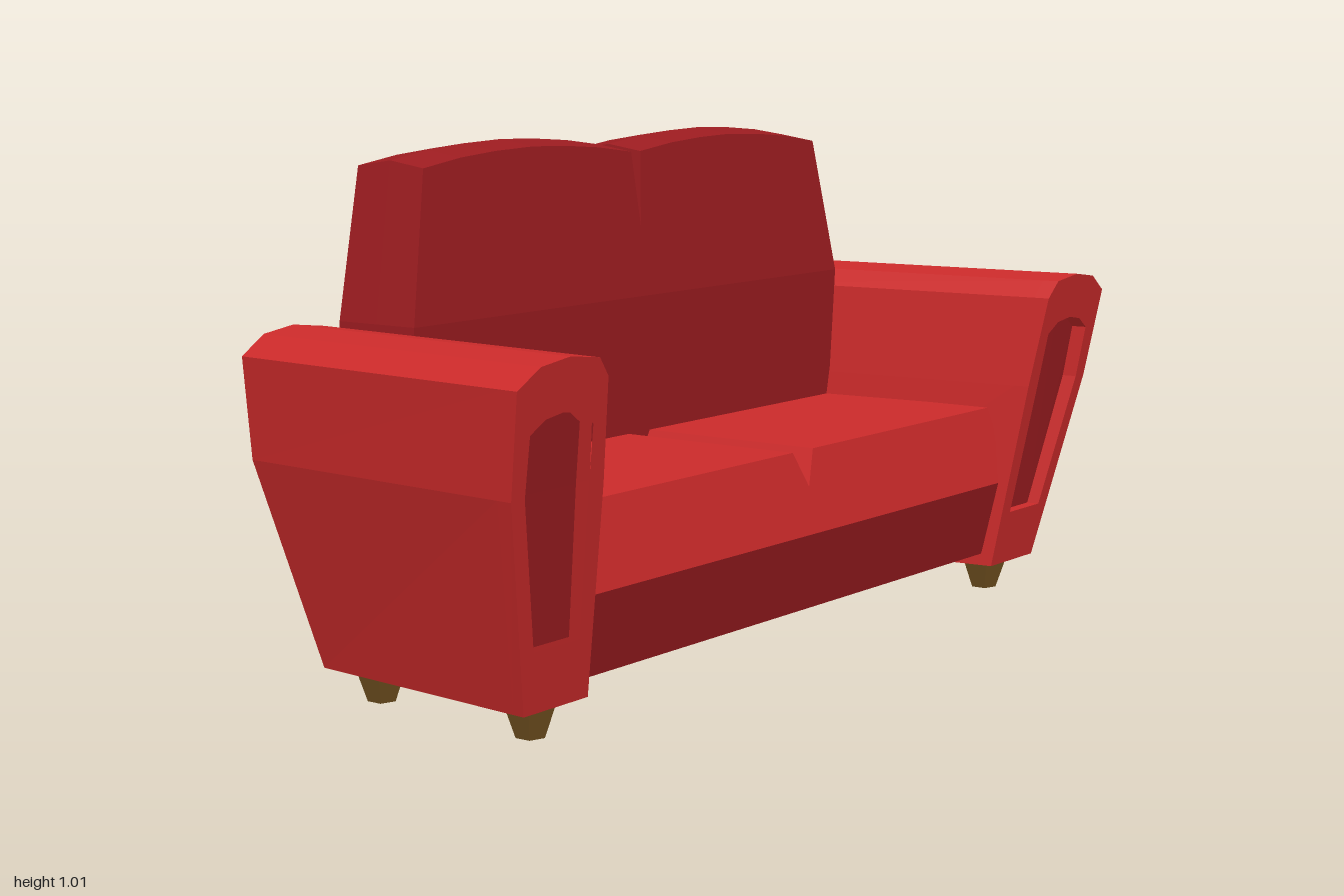
import * as THREE from 'three';

const mat = (color) => new THREE.MeshStandardMaterial({ color, flatShading: true });
const lerp = THREE.MathUtils.lerp;

export function createModel() {
  const sofa = new THREE.Group();
  sofa.name = 'sofa';
  const red = mat(0xcb2a2a), darkRed = mat(0x9c1c20), wood = mat(0x70501f);

  const outline = (pts, s = 1) => pts.map(([x, y]) => new THREE.Vector2(x * s, y));

  // Extrudes a front outline (t = 0 back, t = 1 front), then warps every vertex with rule(x, y, t)
  function loft(name, pts, rule, material, parent, { s = 1, hole = null, t0 = 0, t1 = 1, steps = 1 } = {}) {
    const shape = new THREE.Shape(outline(pts, s));
    if (hole) shape.holes.push(new THREE.Path(outline(hole, s)));
    const geo = new THREE.ExtrudeGeometry(shape, { depth: t1 - t0, steps, bevelEnabled: false });
    const p = geo.attributes.position;
    for (let i = 0; i < p.count; i++) {
      p.setXYZ(i, ...rule(p.getX(i), p.getY(i), p.getZ(i) + t0));
    }
    geo.computeVertexNormals();
    const mesh = new THREE.Mesh(geo, material);
    mesh.name = name;
    parent.add(mesh);
    return mesh;
  }

  // Arms: flared profile, leaning front, tapered back, closer together at the rear
  const armProfile = [[0.7, 0.065], [0.875, 0.065], [0.98, 0.46], [1, 0.65], [0.945, 0.685],
    [0.87, 0.695], [0.79, 0.685], [0.76, 0.65], [0.735, 0.46]];
  const recess = [[0.745, 0.18], [0.87, 0.18], [0.945, 0.46], [0.952, 0.57], [0.915, 0.593],
    [0.87, 0.6], [0.82, 0.593], [0.785, 0.57], [0.775, 0.46]];
  for (const s of [1, -1]) {
    const arm = new THREE.Group();
    arm.name = s > 0 ? 'leftArm' : 'rightArm';
    sofa.add(arm);
    const armRule = (x, y, t) => {
      const front = 0.245 + (y - 0.065) * 0.167;
      const back = Math.max(-0.346, -0.28 - (y - 0.065) * 0.167);
      return [x - s * 0.057 * (1 - t), y, lerp(back, front, t)];
    };
    loft('armBody', armProfile, armRule, red, arm, { s, t1: 0.95 });
    loft('armFrontFrame', armProfile, armRule, red, arm, { s, hole: recess, t0: 0.95 });
    loft('armFrontPanel', recess, armRule, darkRed, arm, { s, t0: 0.94, t1: 0.953 });

    // Legs: five-sided tapered feet
    for (const [x, z, end] of [[0.78, 0.18, 'front'], [0.745, -0.205, 'back']]) {
      const leg = new THREE.Mesh(new THREE.CylinderGeometry(0.05, 0.027, 0.067, 5), wood);
      leg.name = end + 'Leg';
      leg.position.set(s * x, 0.0335, z);
      leg.rotation.y = Math.PI / 2;
      sofa.add(leg);
    }
  }

  // Seat base, leaning in towards the floor
  loft('seatBase', [[-0.7, 0.09], [0.7, 0.09], [0.7, 0.25], [-0.7, 0.25]], (x, y, t) => {
    const k = (y - 0.09) / 0.16;
    return [x, y, lerp(lerp(-0.25, -0.275, k), lerp(0.22, 0.26, k), t)];
  }, darkRed, sofa);

  // Seat cushions with a V groove between them
  loft('seatCushions', [[-0.7, 0.25], [0.7, 0.25], [0.725, 0.36], [0.71, 0.41], [0.035, 0.41],
    [0, 0.34], [-0.035, 0.41], [-0.71, 0.41], [-0.725, 0.36]], (x, y, t) => {
    const k = (y - 0.25) / 0.16;
    return [x, y, lerp(lerp(-0.275, -0.25, k), lerp(0.26, 0.225, k), t)];
  }, red, sofa);

  // Backrest: gently bowed lower part
  loft('backrestLower', [[-0.69, 0.325], [-0.34, 0.3], [0, 0.32], [0.34, 0.3], [0.69, 0.325],
    [0.695, 0.42], [0.692, 0.69], [-0.692, 0.69], [-0.695, 0.42]], (x, y, t) =>
    [x, y, lerp(-0.346, lerp(-0.185, -0.16, (y - 0.3) / 0.39), t)], darkRed, sofa);

  // Backrest upper part: two arched halves with a slit and a ridge along the top
  const half = [[0.015, 0.98], [0.12, 0.993], [0.22, 1], [0.32, 1.003], [0.43, 0.999],
    [0.53, 0.991], [0.635, 0.976], [0.692, 0.69]];
  const mirrored = half.map(([x, y]) => [-x, y]).reverse();
  loft('backrestUpper', [[0, 0.83], ...half, ...mirrored], (x, y, t) => {
    const ridge = y > 0.95 && t > 0.25 && t < 0.75 ? 0.012 : 0;
    return [x, y + ridge, lerp(-0.346, lerp(-0.16, -0.186, (y - 0.69) / 0.31), t)];
  }, darkRed, sofa, { steps: 2 });

  return sofa;
}
